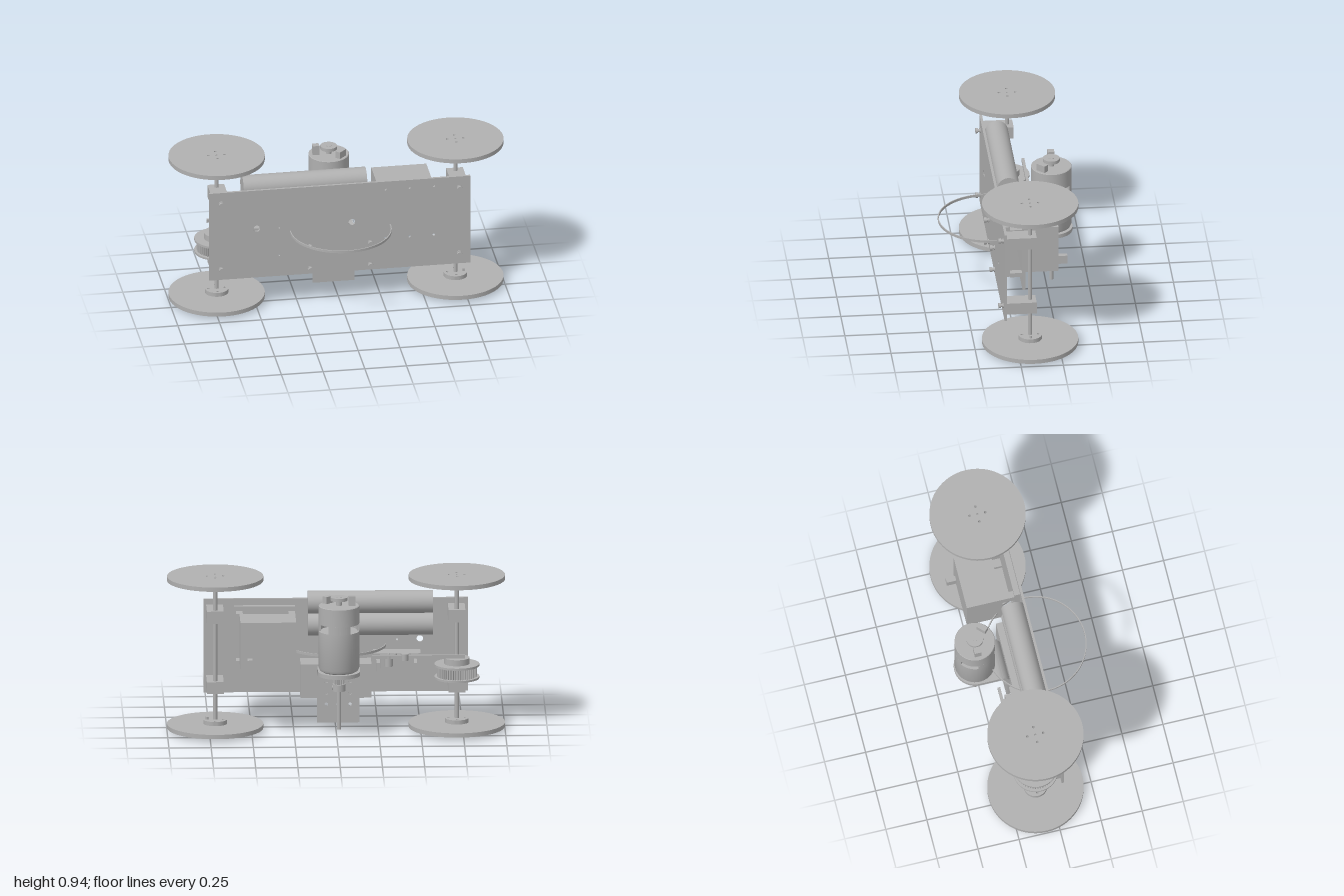
import * as THREE from 'three';
import { toCreasedNormals } from 'three/addons/utils/BufferGeometryUtils.js';

const grey = new THREE.MeshStandardMaterial({ color: 0xb0b0b0 });
grey.name = 'plain grey';

export function createModel() {
  const model = new THREE.Group();
  model.name = 'wheeledChassis';

  const add = (name, geo, x = 0, y = 0, z = 0) => {
    const m = new THREE.Mesh(geo, grey);
    m.name = name;
    m.position.set(x, y, z);
    model.add(m);
    return m;
  };
  // box from its min and max on each axis
  const box = (name, x0, x1, y0, y1, z0, z1) =>
    add(name, new THREE.BoxGeometry(x1 - x0, y1 - y0, z1 - z0), (x0 + x1) / 2, (y0 + y1) / 2, (z0 + z1) / 2);
  // upright cylinder between two heights
  const rod = (name, r, x, z, y0, y1, seg = 32) =>
    add(name, new THREE.CylinderGeometry(r, r, y1 - y0, seg), x, (y0 + y1) / 2, z);
  const extrude = (shape, depth, seg = 24) => toCreasedNormals(
    new THREE.ExtrudeGeometry(shape, { depth, bevelEnabled: false, curveSegments: seg }), 0.6);
  const flat = (shape, depth, seg) => extrude(shape, depth, seg).rotateX(-Math.PI / 2);
  const hole = (shape, x, y, r) => shape.holes.push(new THREE.Path().absarc(x, y, r, 0, Math.PI * 2, true));
  const rect = (x0, x1, y0, y1) => new THREE.Shape([
    new THREE.Vector2(x0, y0), new THREE.Vector2(x1, y0), new THREE.Vector2(x1, y1), new THREE.Vector2(x0, y1)]);
  const disc = (r, holes = []) => {
    const s = new THREE.Shape().absarc(0, 0, r, 0, Math.PI * 2);
    holes.forEach(([x, y, hr]) => hole(s, x, y, hr));
    return s;
  };
  // toothed wheel outline
  const gear = (r, depth, teeth) => {
    const pts = [];
    for (let i = 0; i < teeth * 4; i++) {
      const a = (i / (teeth * 4)) * Math.PI * 2;
      const rr = i % 4 < 2 ? r : r - depth;
      pts.push(new THREE.Vector2(rr * Math.cos(a), rr * Math.sin(a)));
    }
    return new THREE.Shape(pts);
  };

  // Main plate with drilled holes
  const plate = rect(-0.785, 0.78, 0.2, 0.77);
  hole(plate, -0.5, 0.52, 0.02);
  hole(plate, 0.07, 0.52, 0.02);
  for (const x of [0.27, 0.415, 0.56]) for (const y of [0.4, 0.72]) hole(plate, x, y, 0.008);
  for (const y of [0.335, 0.515]) hole(plate, -0.365, y, 0.005);
  add('mainPlate', extrude(plate, 0.015), 0, 0, 0.0625);

  // Screws on the plate front
  const screw = (x, y) => {
    const parts = [[0.015, 0.0775, 0.084], [0.009, 0.084, 0.093], [0.016, 0.093, 0.108]];
    for (const [r, z0, z1] of parts)
      add('plateScrew', new THREE.CylinderGeometry(r, r, z1 - z0, 16).rotateX(Math.PI / 2), x, y, (z0 + z1) / 2);
  };
  for (const s of [-1, 1]) {
    for (const y of [0.7, 0.27]) screw(s * 0.713, y);
    for (const y of [0.38, 0.235]) screw(s * 0.18, y);
  }

  // Axles, bearing blocks, hubs and wheels on both sides
  const AZ = -0.08;
  const bolts = [0, 1, 2, 3].map(i => [0.06 * Math.cos(i * Math.PI / 2), 0.06 * Math.sin(i * Math.PI / 2), 0.008]);
  const hubBolts = bolts.map(([x, y]) => [x * 0.8, y * 0.8, 0.008]);
  const wheelBolts = [...hubBolts, [0, 0, 0.006]];
  for (const s of [-1, 1]) {
    const x = s * 0.715;
    rod('axle', 0.0125, x, AZ, 0.046, 0.919);
    for (const [y0, y1] of [[0.661, 0.736], [0.234, 0.306]])
      box('bearingBlock', x - 0.05, x + 0.05, y0, y1, -0.115, 0.0625);
    for (const [wy, hy] of [[0.919, 0.894], [0.021, 0.046]]) {
      add('wheel', flat(disc(0.285, wheelBolts), 0.026, 48), x, wy, AZ);
      add('wheelHub', flat(disc(0.07, hubBolts), 0.026, 24), x, hy, AZ);
    }
  }
  rod('hubBolt', 0.008, 0.763, AZ, 0.003, 0.088, 12);
  rod('hubBoltHead', 0.017, 0.763, AZ, 0.008, 0.021, 6);

  // Thin hoop passing through the plate
  add('hoop', flat(disc(0.302, [[0, 0, 0.296]]), 0.015, 48), 0, 0.476, 0.097);

  // Two stacked battery cells along x
  for (const y of [0.7635, 0.63])
    add('batteryCell', new THREE.CylinderGeometry(0.0675, 0.0675, 0.74, 48).rotateZ(Math.PI / 2), -0.205, y, -0.005);

  // Boxed unit with its mount on the left side
  box('gearBox', 0.24, 0.57, 0.41, 0.703, -0.2625, -0.045);
  box('gearBoxBase', 0.24, 0.6, 0.4, 0.73, 0.0275, 0.0625);
  for (const x of [0.24, 0.55]) box('gearBoxLegTop', x, x + 0.04, 0.651, 0.703, -0.045, 0.0275);
  for (const x of [0.24, 0.55]) box('gearBoxLegBottom', x, x + 0.04, 0.39, 0.4165, -0.045, 0.0275);
  box('gearBoxConnector', 0.5, 0.53, 0.435, 0.487, -0.32, -0.2625);

  // Motor: lower can, upper can, pillars between them
  const MX = -0.0125, MZ = -0.276;
  const profile = (pts) => toCreasedNormals(
    new THREE.LatheGeometry(pts.map(([r, y]) => new THREE.Vector2(r, y)), 48), 0.6);
  add('motorCan', profile([[0, 0.41], [0.1, 0.41], [0.113, 0.418], [0.12, 0.434], [0.12, 0.657], [0, 0.657]]), MX, 0, MZ);
  add('motorTop', profile([[0, 0.703], [0.12, 0.703], [0.12, 0.808], [0.117, 0.811], [0, 0.811]]), MX, 0, MZ);
  for (const mid of [90, 210, 330]) {
    const a0 = (mid - 33) * Math.PI / 180, a1 = (mid + 33) * Math.PI / 180;
    const s = new THREE.Shape().absarc(0, 0, 0.12, a0, a1, false);
    s.absarc(0, 0, 0.108, a1, a0, true);
    add('motorPillar', flat(s, 0.046, 12), MX, 0.657, MZ);
  }
  rod('motorTopShaft', 0.017, MX, MZ, 0.811, 0.863);
  rod('motorTopDisc', 0.05, MX, MZ, 0.841, 0.861);
  box('motorTerminal', -0.11, -0.07, 0.811, 0.869, -0.3, -0.26);
  const terminal = box('motorTerminal', 0.02, 0.08, 0.811, 0.853, -0.232, -0.2);
  terminal.rotation.y = Math.PI / 4;

  // Motor shaft, small pulley and collar
  rod('motorShaft', 0.012, MX, MZ, 0.055, 0.41);
  add('motorPulley', flat(gear(0.032, 0.006, 16), 0.05), MX, 0.332, MZ);
  rod('motorPulleyFlange', 0.038, MX, MZ, 0.37, 0.378);
  rod('motorCollar', 0.038, MX, MZ, 0.29, 0.332);
  add('collarScrew', new THREE.TorusGeometry(0.01, 0.004, 8, 16).rotateY(Math.PI / 2), MX + 0.038, 0.311, MZ);

  // Bent motor bracket: shelf, bend and drilled back plate
  const W = 0.125;
  const shelf = new THREE.Shape();
  shelf.moveTo(-W, 0.16);
  shelf.lineTo(W, 0.16);
  shelf.lineTo(W, -MZ);
  shelf.absarc(0, -MZ, W, 0, Math.PI, false);
  shelf.lineTo(-W, 0.16);
  add('bracketShelf', flat(shelf, 0.024, 32), MX, 0.386, 0);
  const bend = new THREE.Shape();
  bend.absarc(0, 0, 0.067, 0, Math.PI / 2, false);
  bend.absarc(0, 0, 0.047, Math.PI / 2, 0, true);
  // shape x becomes +z and the extrusion runs along -x
  add('bracketBend', extrude(bend, 2 * W, 12).rotateY(-Math.PI / 2), MX + W, 0.343, -0.16);
  const back = rect(-W, W, 0.055, 0.343);
  for (const x of [-0.07, 0, 0.07]) for (const y of [0.165, 0.235, 0.305]) hole(back, x, y, 0.011);
  add('bracketBack', extrude(back, 0.016), MX, 0, -0.109);
  box('bracketBlock', -0.21, 0.21, 0.2, 0.405, -0.0925, 0.0625);

  // Large driven pulley on the right axle
  const PX = -0.715;
  add('axlePulleyTeeth', flat(gear(0.118, 0.01, 48), 0.065), PX, 0.326, AZ);
  rod('axlePulleyFlange', 0.133, PX, AZ, 0.315, 0.327, 48);
  rod('axlePulleyFlange', 0.133, PX, AZ, 0.39, 0.403, 48);
  rod('axlePulleyHub', 0.075, PX, AZ, 0.403, 0.44);

  // Servo, its mount and the long arm
  box('servoMount', -0.48, -0.24, 0.34, 0.41, -0.09, 0.0625);
  box('servoBody', -0.46, -0.26, 0.39, 0.47, -0.155, -0.05);
  box('servoTab', -0.5, -0.22, 0.46, 0.476, -0.12, -0.015);
  for (const x of [-0.43, -0.39, -0.35, -0.31]) rod('servoPin', 0.009, x, -0.135, 0.47, 0.48, 12);
  rod('servoHub', 0.024, -0.31, -0.165, 0.41, 0.475, 20);
  box('servoArm', -0.76, -0.21, 0.46, 0.48, -0.187, -0.17);
  rod('servoArmPin', 0.02, -0.405, -0.188, 0.45, 0.49, 16);

  return model;
}
